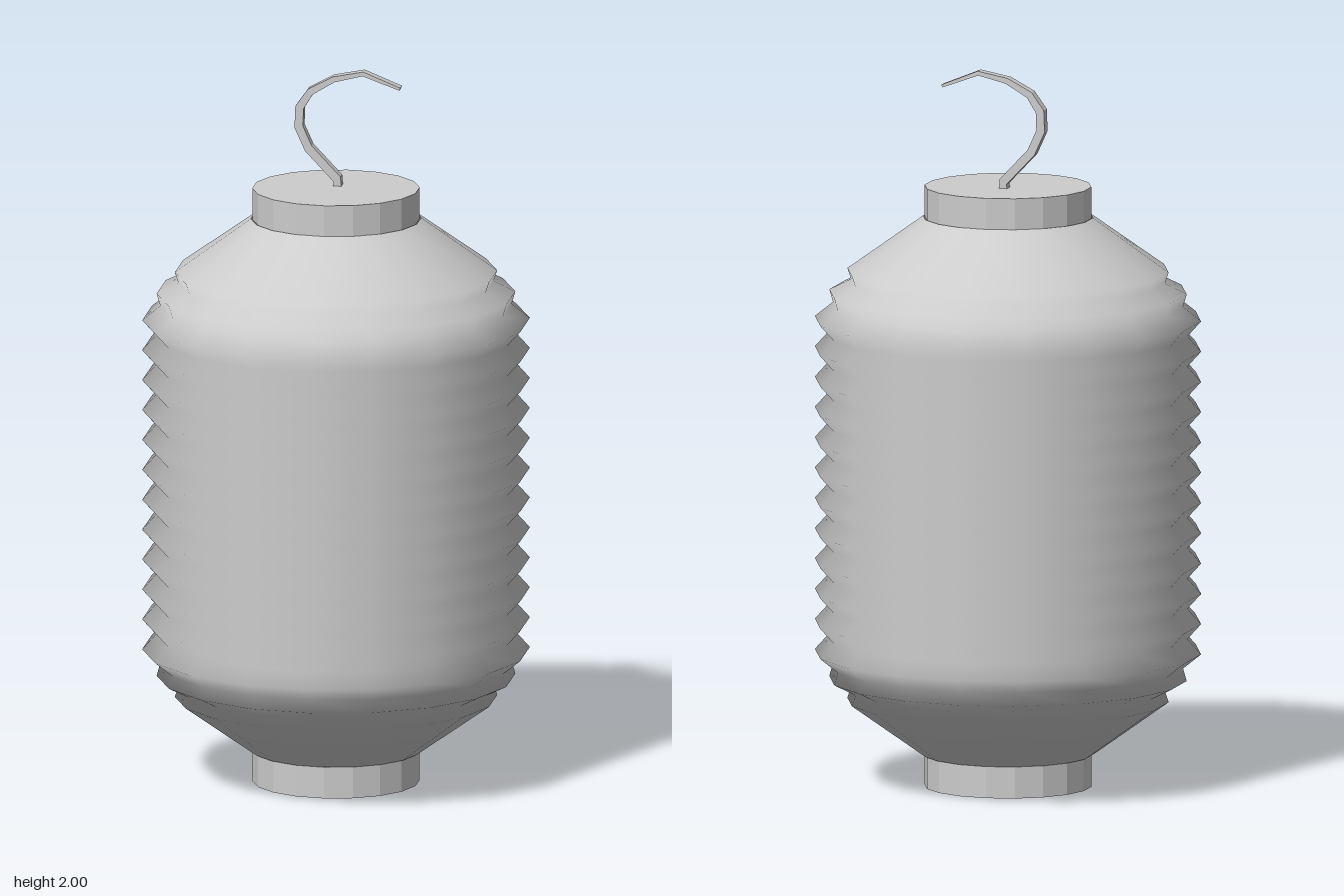
import * as THREE from 'three';

export function createModel() {
  const model = new THREE.Group();
  const gray = new THREE.MeshStandardMaterial({ color: 0xcccccc });
  gray.name = 'light gray';
  gray.side = THREE.DoubleSide;
  const capGray = gray.clone();
  capGray.flatShading = true;
  const SIDES = 18, MID = 0.84;

  const add = (name, geometry, material) => {
    const mesh = new THREE.Mesh(geometry, material);
    mesh.name = name;
    model.add(mesh);
    return mesh;
  };

  // Pleated paper body: tapered shoulder, two stepped folds, then even pleats, mirrored about the middle
  const shoulder = [[0.235, 0.09], [0.445, 0.24], [0.435, 0.27], [0.495, 0.3], [0.485, 0.335]];
  const profile = shoulder.map(([r, y]) => new THREE.Vector2(r, y));
  const pleats = 12, first = 0.375, step = (2 * (MID - first)) / (pleats - 1);
  for (let i = 0; i < pleats; i++) {
    const y = first + i * step;
    profile.push(new THREE.Vector2(0.535, y));
    if (i < pleats - 1) profile.push(new THREE.Vector2(0.497, y + step / 2));
  }
  for (const [r, y] of [...shoulder].reverse()) profile.push(new THREE.Vector2(r, 2 * MID - y));
  add('paperBody', new THREE.LatheGeometry(profile, SIDES), gray);

  // End caps
  for (const [name, y] of [['bottomCap', 0.045], ['topCap', 1.632]]) {
    add(name, new THREE.CylinderGeometry(0.231, 0.231, 0.088, SIDES), capGray).position.y = y;
  }

  // Flat hook, tapering to its tip: x, y and half width along the centre line
  const path = [
    [0, 1.67, 0.012], [0, 1.695, 0.012], [-0.08, 1.78, 0.012], [-0.107, 1.84, 0.012],
    [-0.105, 1.895, 0.012], [-0.075, 1.94, 0.01], [-0.01, 1.977, 0.008],
    [0.072, 1.995, 0.006], [0.175, 1.955, 0.004],
  ];
  const left = [], right = [];
  path.forEach(([x, y, w], i) => {
    const a = path[Math.max(i - 1, 0)], b = path[Math.min(i + 1, path.length - 1)];
    const n = new THREE.Vector2(a[1] - b[1], b[0] - a[0]).normalize().multiplyScalar(w);
    left.push(new THREE.Vector2(x + n.x, y + n.y));
    right.unshift(new THREE.Vector2(x - n.x, y - n.y));
  });
  const hook = new THREE.ExtrudeGeometry(new THREE.Shape([...left, ...right]), { depth: 0.032, bevelEnabled: false });
  add('hook', hook, capGray).position.z = -0.052;

  return model;
}
